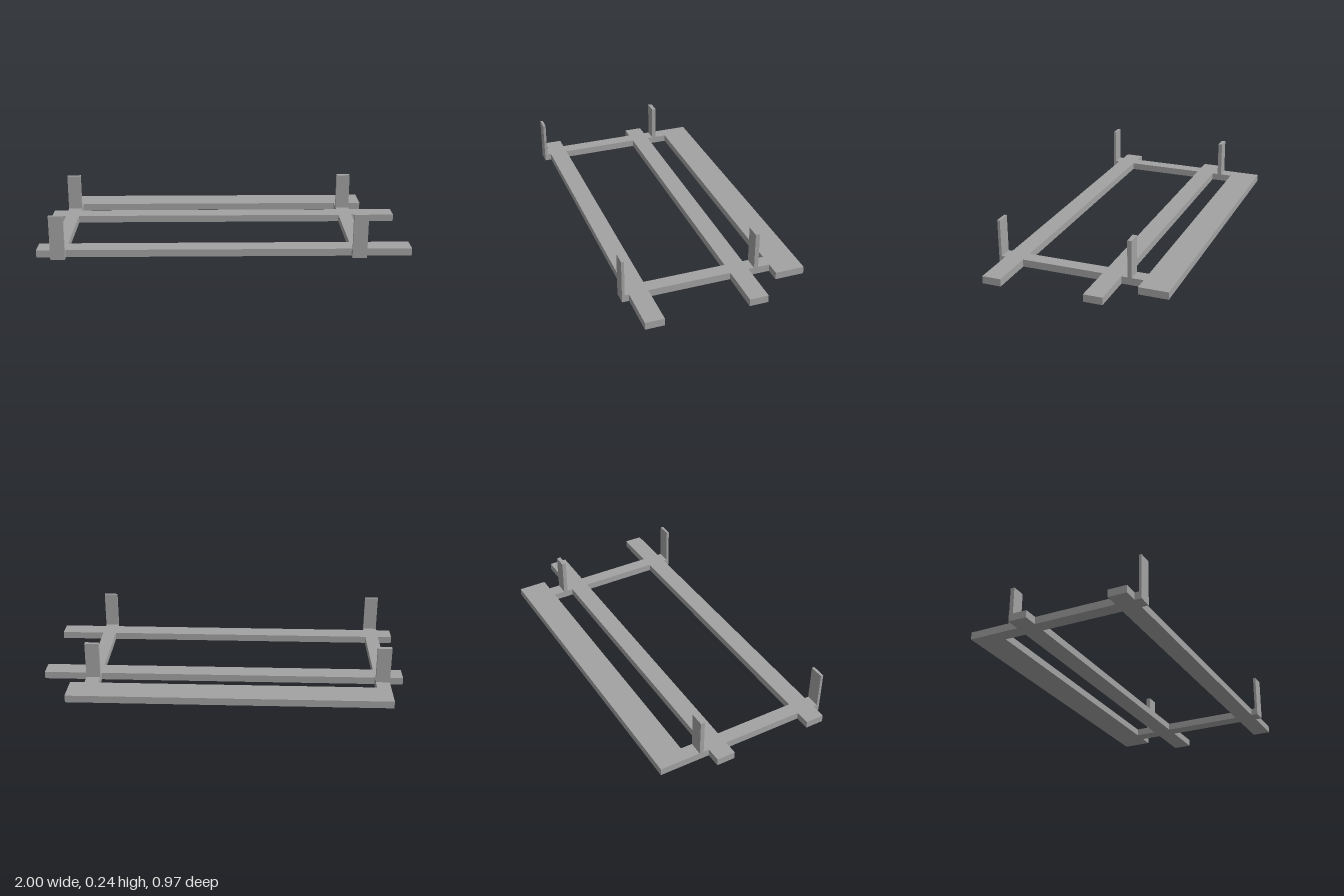
import * as THREE from 'three';

const THICK = 0.04; // thickness of the flat frame
const POST_TOP = 0.242;

export function createModel() {
  const model = new THREE.Group();
  model.name = 'slattedFrame';
  const grey = new THREE.MeshStandardMaterial({ color: 0xa2a2a2 });
  grey.name = 'plain grey';

  // Box given by its extents along each axis
  function bar(name, [x0, x1], [y0, y1], [z0, z1]) {
    const mesh = new THREE.Mesh(new THREE.BoxGeometry(x1 - x0, y1 - y0, z1 - z0), grey);
    mesh.position.set((x0 + x1) / 2, (y0 + y1) / 2, (z0 + z1) / 2);
    mesh.name = name;
    model.add(mesh);
  }

  // Long boards running side to side
  const flat = [0, THICK];
  bar('frontRail', [-1, 1], flat, [0.345, 0.447]);
  bar('middleRail', [-1, 1], flat, [-0.205, -0.103]);
  bar('backBoard', [-0.92, 0.835], flat, [-0.484, -0.324]);

  // Cross members fitted between the boards, each with two upright posts
  for (const [side, x] of [['right', [-0.92, -0.843]], ['left', [0.678, 0.755]]]) {
    bar(side + 'CrossFront', x, flat, [0.447, 0.484]);
    bar(side + 'CrossMiddle', x, flat, [-0.103, 0.345]);
    bar(side + 'CrossBack', x, flat, [-0.324, -0.205]);
    bar(side + 'FrontPost', x, [THICK, POST_TOP], [0.469, 0.484]);
    bar(side + 'BackPost', x, [THICK, POST_TOP], [-0.26, -0.237]);
  }
  return model;
}
